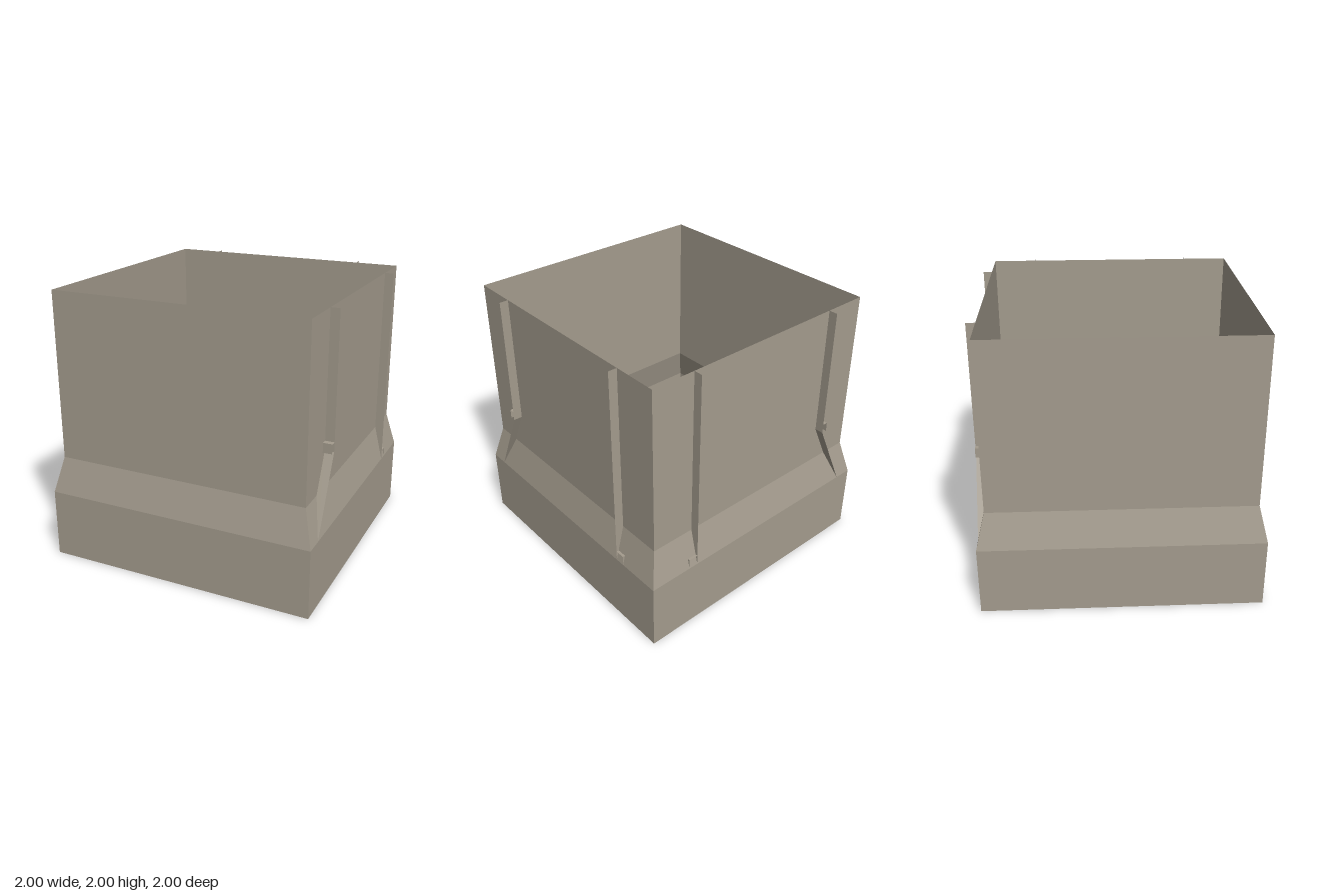
import * as THREE from 'three';

const IN = 0.935, OUT = 1;        // half widths of the upper and lower walls
const FLARE_LOW = 0.505, FLARE_TOP = 0.77, TOP = 2;
const FIN = 0.61;                 // fin distance from the middle of a side

const stone = new THREE.MeshStandardMaterial({ color: 0xa49c8e });
stone.name = 'warm grey';
stone.side = THREE.DoubleSide;
stone.flatShading = true;

// Half width of the wall at a given height on the flare
const wallAt = (y) => OUT + (IN - OUT) * (y - FLARE_LOW) / (FLARE_TOP - FLARE_LOW);

// Open square sleeve between two heights
function sleeve(name, y0, w0, y1, w1) {
  const g = new THREE.CylinderGeometry(w1 * Math.SQRT2, w0 * Math.SQRT2, y1 - y0, 4, 1, true);
  g.rotateY(Math.PI / 4).translate(0, (y0 + y1) / 2, 0);
  const mesh = new THREE.Mesh(g, stone);
  mesh.name = name;
  return mesh;
}

// Thin flat plate from a convex outline, fanned from its first corner
function plate(name, corners, place) {
  const pos = [];
  for (let i = 1; i < corners.length - 1; i++) {
    for (const c of [corners[0], corners[i], corners[i + 1]]) pos.push(...place(c));
  }
  const g = new THREE.BufferGeometry();
  g.setAttribute('position', new THREE.Float32BufferAttribute(pos, 3));
  g.computeVertexNormals();
  const mesh = new THREE.Mesh(g, stone);
  mesh.name = name;
  return mesh;
}

// Fins and brackets of one side; corners are [outward, up, along]
function sideFins(name, place) {
  const group = new THREE.Group();
  group.name = name;
  const add = (part, corners) => group.add(plate(part, corners, place));

  // Bent fin: upright strip, then a brace slanting out to the foot of the flare
  const bendY = 1.04, footU = 0.865;
  const midU = FIN + (footU - FIN) * (bendY - FLARE_TOP) / (bendY - FLARE_LOW);
  add('bentFinStrip', [[IN, TOP, FIN], [OUT, TOP, FIN], [OUT, bendY, FIN], [IN, bendY, FIN]]);
  add('bentFinBrace', [[IN, bendY, FIN], [OUT, bendY, FIN], [OUT, FLARE_LOW, footU], [IN, FLARE_TOP, midU]]);

  // Open bracket at the bend
  const capY = 1.11, capU = 0.65;
  add('bendBracketTop', [[IN, capY, FIN], [OUT, capY, FIN], [OUT, capY, capU], [IN, capY, capU]]);
  add('bendBracketSide', [[IN, capY, capU], [OUT, capY, capU], [OUT, bendY, capU], [IN, bendY, capU]]);

  // Straight fin running down onto the flare
  add('straightFin', [[IN, TOP, -FIN], [OUT, TOP, -FIN], [OUT, FLARE_LOW, -FIN], [IN, FLARE_TOP, -FIN]]);

  // Open bracket at the foot of the straight fin
  const footY = 0.58, w = wallAt(footY), endU = -0.68;
  add('footBracketTop', [[w, footY, -FIN], [OUT, footY, -FIN], [OUT, footY, endU], [w, footY, endU]]);
  add('footBracketSide', [[w, footY, endU], [OUT, footY, endU], [OUT, FLARE_LOW, endU]]);
  return group;
}

export function createModel() {
  const model = new THREE.Group();
  model.name = 'openSleeve';
  model.add(
    sleeve('lowerWall', 0, OUT, FLARE_LOW, OUT),
    sleeve('flare', FLARE_LOW, OUT, FLARE_TOP, IN),
    sleeve('upperWall', FLARE_TOP, IN, TOP, IN),
    sideFins('leftSideFins', ([o, y, u]) => [o, y, u]),
    sideFins('backFins', ([o, y, u]) => [-u, y, -o]),
  );
  return model;
}
